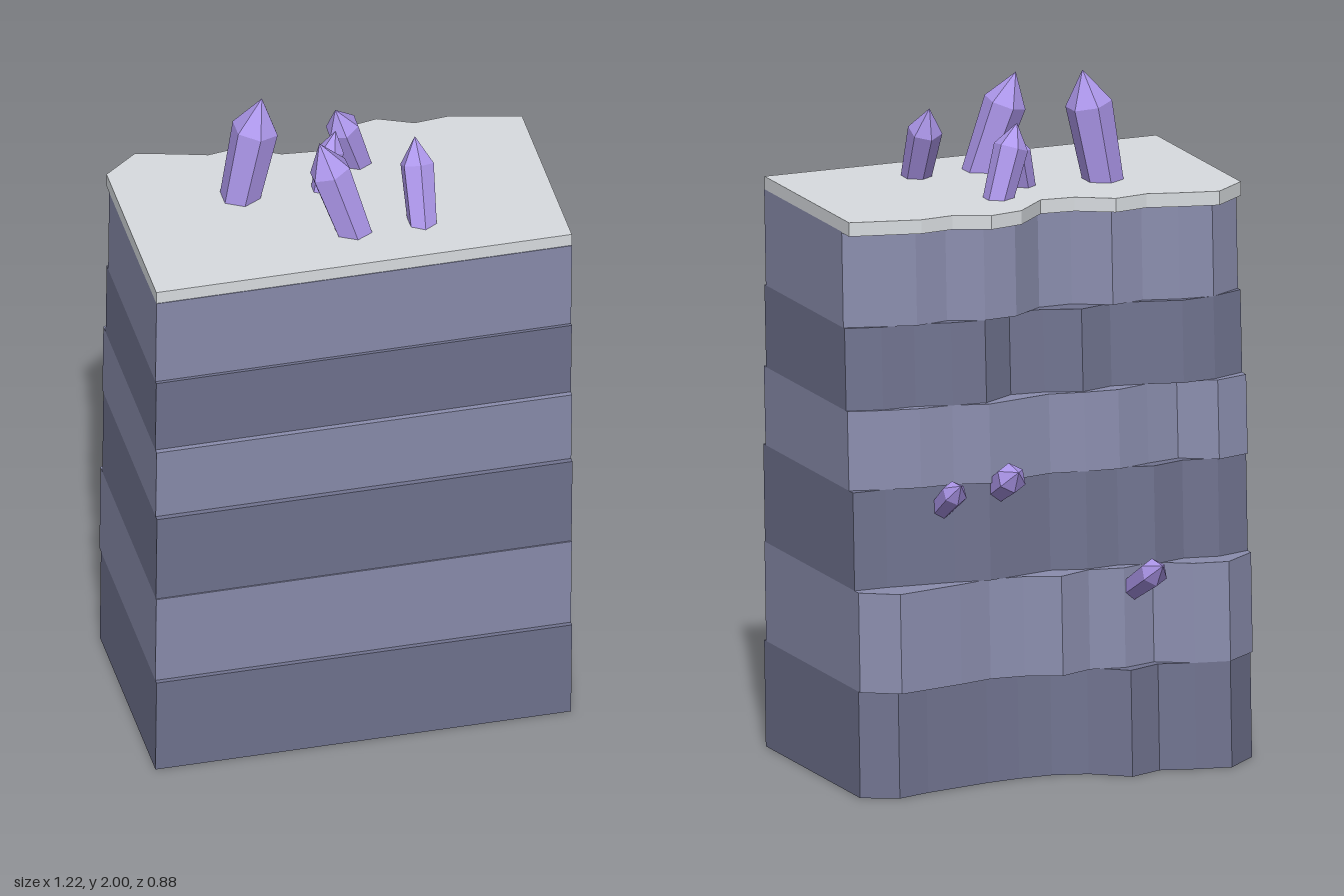
import * as THREE from 'three';

const HALF_WIDTH = 0.61;
const material = (color) => new THREE.MeshStandardMaterial({ color, flatShading: true });
const rockLight = material(0x8a8dad);
const rockDark = material(0x70738f);
const capStone = material(0xd8dce0);
const crystalViolet = material(0xae98ec);

// Slab with a straight front and a jagged back; back holds depths from -x to +x
function slab(name, y0, y1, front, back, lean, mat) {
  const shape = new THREE.Shape();
  shape.moveTo(-HALF_WIDTH, -front);
  shape.lineTo(HALF_WIDTH, -front);
  for (let i = back.length - 1; i >= 0; i--) {
    shape.lineTo(-HALF_WIDTH + (2 * HALF_WIDTH * i) / (back.length - 1), back[i]);
  }
  shape.closePath();
  const geo = new THREE.ExtrudeGeometry(shape, { depth: y1 - y0, bevelEnabled: false });
  geo.rotateX(-Math.PI / 2);
  // lean the top of the slab towards the front
  const pos = geo.attributes.position;
  for (let i = 0; i < pos.count; i++) {
    pos.setZ(i, pos.getZ(i) + (lean * pos.getY(i)) / (y1 - y0));
  }
  geo.computeVertexNormals();
  const mesh = new THREE.Mesh(geo, mat);
  mesh.name = name;
  mesh.position.y = y0;
  return mesh;
}

// Six-sided crystal with a pointed end, from base point to tip point
function crystal(name, base, tip, radius) {
  const a = new THREE.Vector3(...base);
  const b = new THREE.Vector3(...tip);
  const length = a.distanceTo(b);
  const profile = [
    [0, 0], [radius * 0.85, 0], [radius, length * 0.72], [0, length],
  ].map(([r, y]) => new THREE.Vector2(r, y));
  const mesh = new THREE.Mesh(new THREE.LatheGeometry(profile, 6), crystalViolet);
  mesh.name = name;
  mesh.position.copy(a);
  mesh.quaternion.setFromUnitVectors(new THREE.Vector3(0, 1, 0), b.sub(a).normalize());
  return mesh;
}

export function createModel() {
  const model = new THREE.Group();
  model.name = 'crystalCliff';

  // Rock strata from the ground up: bottom, top, front depth, back profile
  const strata = [
    [0, 0.31, 0.422, [0.25, 0.34, 0.32, 0.29, 0.33, 0.25, 0.22, 0.22, 0.23, 0.25, 0.27, 0.30, 0.25]],
    [0.31, 0.60, 0.42, [0.255, 0.33, 0.31, 0.25, 0.28, 0.26, 0.30, 0.26, 0.25, 0.275, 0.295, 0.315, 0.25]],
    [0.60, 0.885, 0.428, [0.22, 0.25, 0.23, 0.26, 0.23, 0.24, 0.21, 0.23, 0.25, 0.23, 0.22, 0.21, 0.21]],
    [0.885, 1.115, 0.424, [0.22, 0.25, 0.19, 0.21, 0.24, 0.23, 0.21, 0.23, 0.25, 0.22, 0.22, 0.20, 0.17]],
    [1.115, 1.355, 0.42, [0.18, 0.22, 0.23, 0.20, 0.18, 0.21, 0.17, 0.16, 0.22, 0.21, 0.18, 0.18, 0.15]],
    [1.355, 1.635, 0.422, [0.15, 0.21, 0.20, 0.17, 0.19, 0.13, 0.13, 0.20, 0.21, 0.17, 0.19, 0.16, 0.13]],
  ];
  strata.forEach(([y0, y1, front, back], i) => {
    model.add(slab(`rockLayer${i + 1}`, y0, y1, front, back, 0.012, i % 2 ? rockLight : rockDark));
  });

  // Pale overhanging top
  model.add(slab('capSlab', 1.632, 1.673, 0.432,
    [0.17, 0.25, 0.225, 0.195, 0.21, 0.15, 0.14, 0.235, 0.255, 0.21, 0.22, 0.195, 0.17], 0, capStone));

  // Crystals on the top: base, tip, radius
  const topCrystals = [
    [[-0.27, 1.64, 0.02], [-0.20, 2.0, 0.02], 0.068],
    [[0.02, 1.64, 0.265], [-0.08, 1.96, 0.22], 0.062],
    [[0.11, 1.64, -0.07], [0.03, 1.88, -0.04], 0.05],
    [[0.21, 1.64, 0.28], [0.215, 1.895, 0.16], 0.05],
    [[-0.035, 1.64, 0.045], [0.02, 1.84, 0.005], 0.038],
  ];
  topCrystals.forEach((c, i) => model.add(crystal(`topCrystal${i + 1}`, ...c)));

  // Crystals growing out of the back face
  const backCrystals = [
    [[-0.24, 0.53, -0.24], [-0.25, 0.64, -0.44], 0.041],
    [[0.165, 0.84, -0.18], [0.16, 0.935, -0.35], 0.045],
    [[0.335, 0.8, -0.18], [0.335, 0.91, -0.34], 0.037],
  ];
  backCrystals.forEach((c, i) => model.add(crystal(`backCrystal${i + 1}`, ...c)));

  return model;
}
